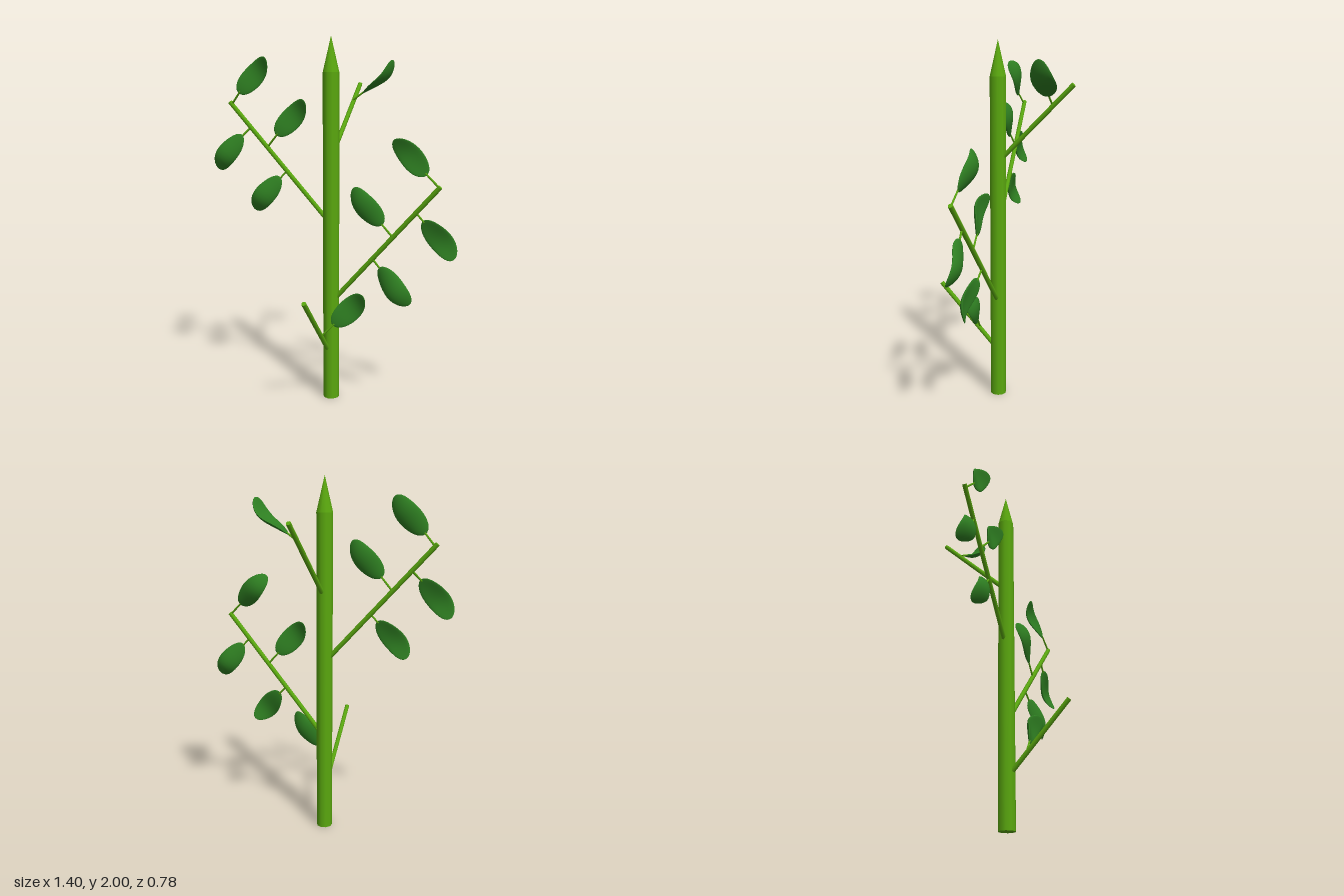
import * as THREE from 'three';

const stemMat = new THREE.MeshStandardMaterial({ color: 0x5aa80f });
const leafMat = new THREE.MeshStandardMaterial({ color: 0x2f8022 });
const V = (a) => new THREE.Vector3(...a);

// Tapered rod between two points
function rod(name, from, to, r0, r1, sides = 8) {
  const a = V(from), b = V(to), dir = b.clone().sub(a);
  const mesh = new THREE.Mesh(new THREE.CylinderGeometry(r1, r0, dir.length(), sides), stemMat);
  mesh.name = name;
  mesh.position.copy(a).add(b).multiplyScalar(0.5);
  mesh.quaternion.setFromUnitVectors(new THREE.Vector3(0, 1, 0), dir.normalize());
  return mesh;
}

// Thick oval leaf blade, 0.25 long, bowed along its length and slightly twisted
function leafGeometry() {
  const g = new THREE.SphereGeometry(1, 24, 18);
  const p = g.attributes.position;
  for (let i = 0; i < p.count; i++) {
    const y = p.getY(i), x = p.getX(i), z = p.getZ(i);
    const bow = -0.034 * Math.cos(y * Math.PI / 2) - 0.008 * Math.sin(y * Math.PI);
    const curl = 0.012 * x * x + 0.014 * x * y;
    p.setXYZ(i, 0.063 * x, 0.127 * y, 0.011 * z + bow + curl);
  }
  g.computeVertexNormals();
  return g;
}

// Leaf with its stalk: node on the branch, blade centre, facing normal
function leaf(geo, node, centre, normal) {
  const group = new THREE.Group();
  group.name = 'leaf';
  const c = V(centre), n = V(normal);
  const along = c.clone().sub(V(node));
  along.addScaledVector(n, -along.dot(n)).normalize();
  const side = along.clone().cross(n).normalize();
  const blade = new THREE.Mesh(geo, leafMat);
  blade.name = 'leafBlade';
  blade.position.copy(c);
  blade.quaternion.setFromRotationMatrix(new THREE.Matrix4().makeBasis(side, along, n));
  const base = c.clone().addScaledVector(along, -0.115);
  group.add(blade, rod('leafStalk', node, base.toArray(), 0.006, 0.005, 6));
  return group;
}

export function createModel() {
  const model = new THREE.Group();
  model.name = 'plant';
  const X = -0.005, Z = 0.034;

  // Main stem with pointed tip
  const stem = rod('stem', [X, 0, Z], [X, 1.81, Z], 0.045, 0.045, 10);
  const tip = new THREE.Mesh(new THREE.ConeGeometry(0.045, 0.19, 10), stemMat);
  tip.name = 'stemTip';
  tip.position.set(X, 1.905, Z);
  model.add(stem, tip);

  // Four side branches
  const branches = [
    ['rightBranch', [-0.02, 1.01, 0.035], [-0.605, 1.66, 0.095]],
    ['leftBranch', [0.02, 0.58, 0.03], [0.605, 1.225, 0.03]],
    ['backBranch', [X, 1.38, 0.01], [-0.01, 1.77, -0.38]],
    ['frontBranch', [-0.012, 0.295, 0.07], [0.005, 0.635, 0.385]],
  ];
  for (const [name, a, b] of branches) model.add(rod(name, a, b, 0.013, 0.013));

  // Leaves: node, blade centre, normal (blade bows away from the normal)
  const front = [0, 0, 1], back = [0, 0, -1], up = [-0.7071, 0.7071, 0];
  const leaves = [
    [[-0.595, 1.645, 0.095], [-0.45, 1.80, 0.11], front],
    [[-0.38, 1.41, 0.072], [-0.23, 1.57, 0.08], front],
    [[-0.485, 1.515, 0.083], [-0.605, 1.38, 0.105], back],
    [[-0.265, 1.28, 0.06], [-0.385, 1.15, 0.07], back],
    [[0.6, 1.22, 0.03], [0.44, 1.37, 0.025], front],
    [[0.35, 0.95, 0.03], [0.21, 1.105, 0.035], back],
    [[0.48, 1.085, 0.03], [0.60, 0.95, 0.025], front],
    [[0.24, 0.82, 0.03], [0.367, 0.685, 0.035], back],
    [[-0.005, 0.395, 0.15], [0.142, 0.545, 0.135], front],
    [[-0.005, 1.675, -0.265], [0.142, 1.80, -0.27], up],
  ];
  const geo = leafGeometry();
  for (const [node, centre, normal] of leaves) model.add(leaf(geo, node, centre, normal));
  return model;
}
